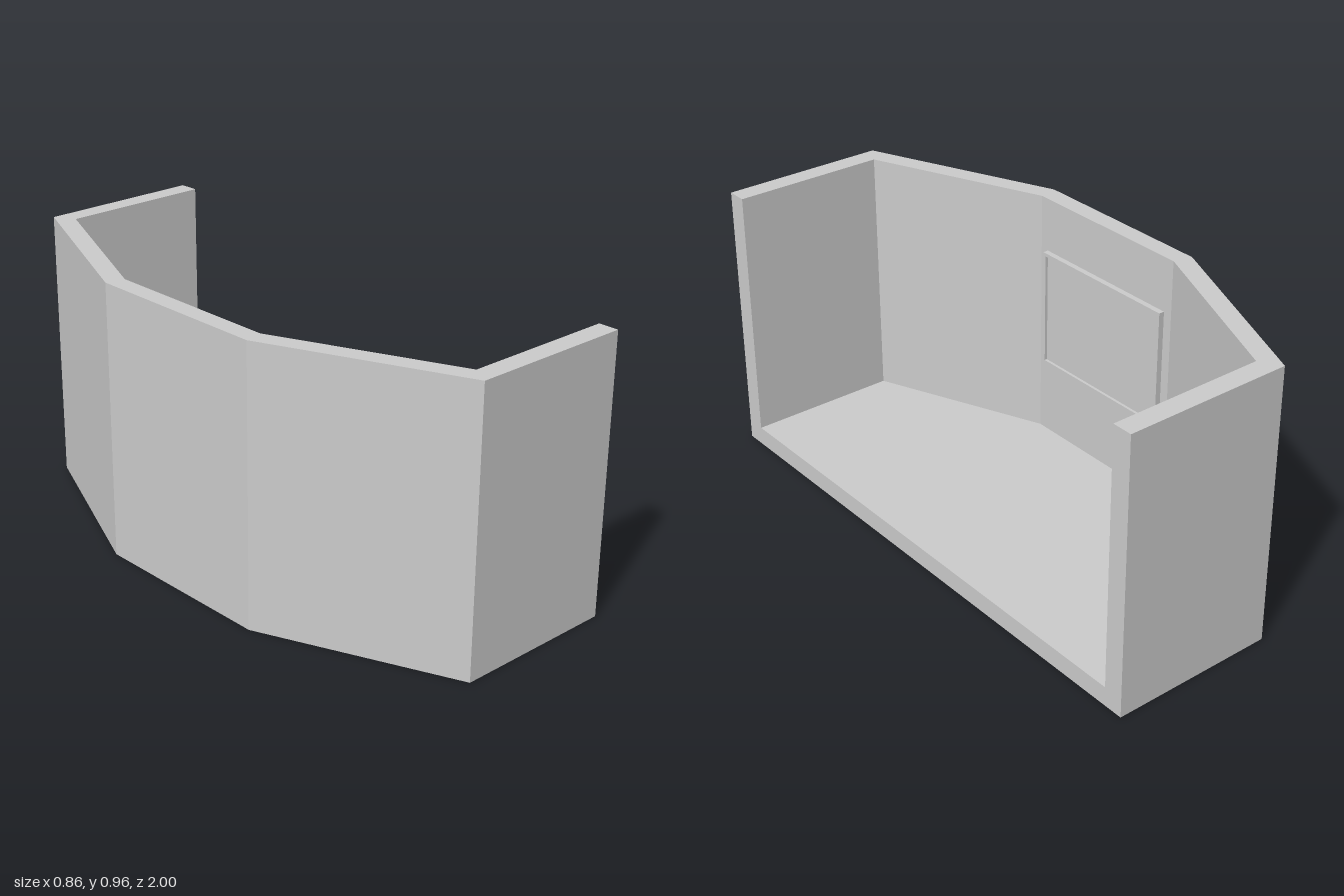
import * as THREE from 'three';

const material = new THREE.MeshStandardMaterial({ color: 0xcccccc, flatShading: true });

const HEIGHT = 0.96, FLOOR = 0.067;

// Half plans (x, z), running from the open side to the back wall
const OUTER = [[0.43, 1], [-0.15, 1], [-0.43, 0.335]];
const INNER = [[0.43, 0.93], [-0.107, 0.93], [-0.365, 0.32]];

const toPoints = (list) => list.map(([x, z]) => new THREE.Vector2(x, z));
const mirror = (half) => [...half].reverse().map(([x, z]) => [x, -z]);

function addMesh(group, name, geometry) {
  const mesh = new THREE.Mesh(geometry, material);
  mesh.name = name;
  group.add(mesh);
  return mesh;
}

// Extrude a plan outline upwards from y = base
function extrudeUp(outline, base, height) {
  const geometry = new THREE.ExtrudeGeometry(new THREE.Shape(toPoints(outline)), {
    depth: height, bevelEnabled: false,
  });
  return geometry.rotateX(-Math.PI / 2).translate(0, base, 0);
}

function rectangle(PathType, w, h) {
  return new PathType(toPoints([[-w / 2, -h / 2], [w / 2, -h / 2], [w / 2, h / 2], [-w / 2, h / 2]]));
}

export function createModel() {
  const model = new THREE.Group();
  model.name = 'alcove';

  // Floor slab and the folded wall standing on it
  const outerPlan = [...OUTER, ...mirror(OUTER)];
  const innerPlan = [...INNER, ...mirror(INNER)];
  addMesh(model, 'floor', extrudeUp(outerPlan, 0, FLOOR));
  addMesh(model, 'walls', extrudeUp([...outerPlan, ...innerPlan.reverse()], FLOOR, HEIGHT - FLOOR));

  // Wall screen: raised thin frame around a recessed panel
  const screen = new THREE.Group();
  screen.name = 'wallScreen';
  screen.position.set(-0.365, 0.557, 0);
  const width = 0.575, height = 0.425, border = 0.012;
  const frame = rectangle(THREE.Shape, width, height);
  frame.holes.push(rectangle(THREE.Path, width - 2 * border, height - 2 * border));
  addMesh(screen, 'screenFrame', new THREE.ExtrudeGeometry(frame, { depth: 0.02, bevelEnabled: false })
    .rotateY(Math.PI / 2));
  addMesh(screen, 'screenPanel', new THREE.BoxGeometry(0.01, height - 2 * border, width - 2 * border))
    .position.x = 0.005;
  model.add(screen);

  return model;
}
